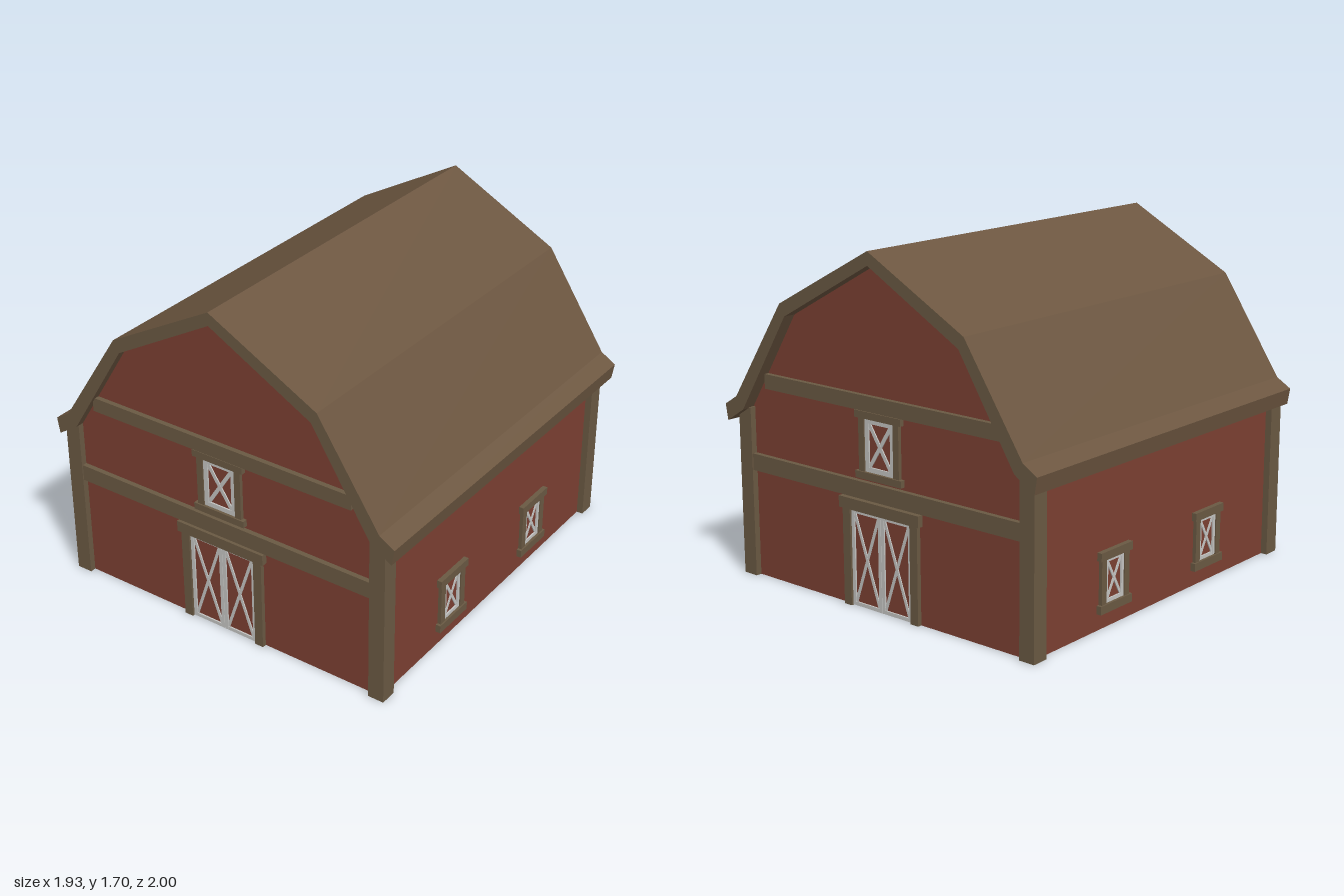
import * as THREE from 'three';

const mat = (name, color) => Object.assign(new THREE.MeshStandardMaterial({ color }), { name });
const red = mat('barn red', 0x7c4032);
const timber = mat('timber brown', 0x6a5943);
const roofing = mat('roof brown', 0x6c5640);
const white = mat('pale trim', 0xc4c4c2);

function add(parent, name, geometry, material, x = 0, y = 0, z = 0) {
  const mesh = new THREE.Mesh(geometry, material);
  mesh.name = name;
  mesh.position.set(x, y, z);
  parent.add(mesh);
  return mesh;
}

// Box given by its size and the height of its base
const block = (parent, name, w, h, d, material, x, y, z) =>
  add(parent, name, new THREE.BoxGeometry(w, h, d), material, x, y + h / 2, z);

// Beam running between two points
function beam(parent, name, a, b, t, material) {
  const p = new THREE.Vector3(...a), q = new THREE.Vector3(...b);
  const m = add(parent, name, new THREE.BoxGeometry(t, t, p.distanceTo(q)), material);
  m.position.copy(p).add(q).multiplyScalar(0.5);
  m.lookAt(q);
  return m;
}

const shapeOf = pts => new THREE.Shape(pts.map(p => new THREE.Vector2(...p)));
function slab(parent, name, pts, depth, z, material) {
  const g = new THREE.ExtrudeGeometry(shapeOf(pts), { depth, bevelEnabled: false });
  return add(parent, name, g, material, 0, 0, z);
}

// Red panel with a pale frame and a crossed brace, visible on both faces
function crossPanel(parent, w, h, x, y, t) {
  const g = new THREE.Group();
  g.name = 'crossPanel';
  g.position.set(x, y, 0);
  parent.add(g);
  block(g, 'panel', w, h, 0.028, red, 0, 0, 0);
  for (const s of [-1, 1]) {
    block(g, 'frameSide', t, h, 0.044, white, s * (w - t) / 2, 0, 0);
    block(g, 'frameRail', w, t, 0.043, white, 0, s < 0 ? 0 : h - t, 0);
    const iw = w - 2 * t, ih = h - 2 * t;
    const bar = add(g, 'crossBar', new THREE.BoxGeometry(t * 0.8, Math.hypot(iw, ih), 0.038 + s * 0.001), white, 0, h / 2, 0);
    bar.rotation.z = s * Math.atan2(iw, ih);
  }
}

// Window with timber jambs, lintel and sill
function makeWindow(w, h, y, jamb, lip, head) {
  const g = new THREE.Group();
  g.name = 'window';
  crossPanel(g, w, h, 0, y, w * 0.13);
  for (const s of [-1, 1]) {
    block(g, 'jamb', jamb, h, 0.056, timber, s * (w + jamb) / 2, y, 0);
    block(g, 'lintelAndSill', w + 2 * (jamb + lip), head, 0.07, timber, 0, s < 0 ? y - head : y + h, 0);
  }
  return g;
}

// Double door with jambs and lintel
function makeDoor() {
  const g = new THREE.Group();
  g.name = 'doubleDoor';
  for (const s of [-1, 1]) {
    crossPanel(g, 0.186, 0.47, s * 0.094, 0.003, 0.018);
    block(g, 'doorJamb', 0.046, 0.475, 0.064, timber, s * 0.211, 0, 0);
  }
  block(g, 'doorLintel', 0.5, 0.055, 0.08, timber, 0, 0.474, 0);
  return g;
}

export function createModel() {
  const model = new THREE.Group();
  model.name = 'barn';

  // Gambrel roof with flared eaves: outer line, then underside
  const half = [[0.967, 0.855], [0.889, 0.903], [0.566, 1.395]];
  const under = [[0.535, 1.338], [0.843, 0.845], [0.953, 0.775]];
  const flip = pts => pts.map(([x, y]) => [-x, y]).reverse();
  const roofLine = [...half, [-0.006, 1.7], ...flip(half), ...flip(under), [-0.006, 1.635], ...under];
  slab(model, 'roof', roofLine, 2, -1, [timber, roofing]);

  const body = new THREE.Group();
  body.name = 'body';
  body.position.set(-0.007, 0, 0.01);
  model.add(body);

  // Gable walls: red outside, timber lining inside
  const wallX = 0.885, wallZ = 0.945;
  const gable = [[-wallX, 0], [wallX, 0], [wallX, 0.83], [0.85, 0.86], [0.55, 1.355], [0, 1.66],
    [-0.55, 1.355], [-0.85, 0.86], [-wallX, 0.83]];
  for (const s of [1, -1]) {
    const end = new THREE.Group();
    end.name = s > 0 ? 'frontEnd' : 'backEnd';
    end.rotation.y = s > 0 ? 0 : Math.PI;
    body.add(end);
    slab(end, 'gableWall', gable, 0.01, wallZ - 0.01, red);
    slab(end, 'gableLining', gable, 0.01, wallZ - 0.02, roofing);
    block(end, 'lowerBeam', 1.69, 0.083, 0.07, timber, 0, 0.538, wallZ - 0.01);
    block(end, 'upperBeam', 1.47, 0.072, 0.07, timber, 0, 0.958, wallZ - 0.01);
    const door = makeDoor(), hatch = makeWindow(0.18, 0.252, 0.67, 0.035, 0.018, 0.034);
    door.position.z = hatch.position.z = wallZ - 0.01;
    end.add(door, hatch);
  }

  // Side walls with two windows each
  for (const s of [1, -1]) {
    const side = new THREE.Group();
    side.name = s > 0 ? 'leftSide' : 'rightSide';
    side.rotation.y = s * Math.PI / 2;
    body.add(side);
    block(side, 'sideWall', 1.89, 0.83, 0.01, red, 0, 0, wallX - 0.005);
    block(side, 'sideLining', 1.87, 0.83, 0.01, roofing, 0, 0, wallX - 0.015);
    for (const k of [-1, 1]) {
      const win = makeWindow(0.135, 0.212, 0.12, 0.036, 0.014, 0.04);
      win.position.set(k * 0.373, 0, wallX - 0.01);
      side.add(win);
    }
  }

  // Corner posts and inner frame
  for (const sx of [-1, 1]) {
    for (const sz of [-1, 1]) {
      block(body, 'cornerPost', 0.082, 0.85, 0.085, timber, sx * 0.877, 0, sz * 0.933);
      block(body, 'innerPost', 0.065, 1.3, 0.065, timber, sx * 0.55, 0, sz * 0.46);
      beam(body, 'brace', [sx * 0.55, 0.82, sz * 0.46], [sx * 0.36, 1.01, sz * 0.46], 0.045, timber);
      beam(body, 'brace', [sx * 0.55, 1.07, sz * 0.46], [sx * 0.55, 1.27, sz * 0.26], 0.045, timber);
    }
    beam(body, 'sideBeam', [sx * 0.55, 0.58, -0.93], [sx * 0.55, 0.58, 0.93], 0.06, timber);
    beam(body, 'purlin', [sx * 0.53, 1.29, -0.93], [sx * 0.53, 1.29, 0.93], 0.06, timber);
    beam(body, 'tieBeam', [-0.7, 1.02, sx * 0.46], [0.7, 1.02, sx * 0.46], 0.06, timber);
  }
  return model;
}
